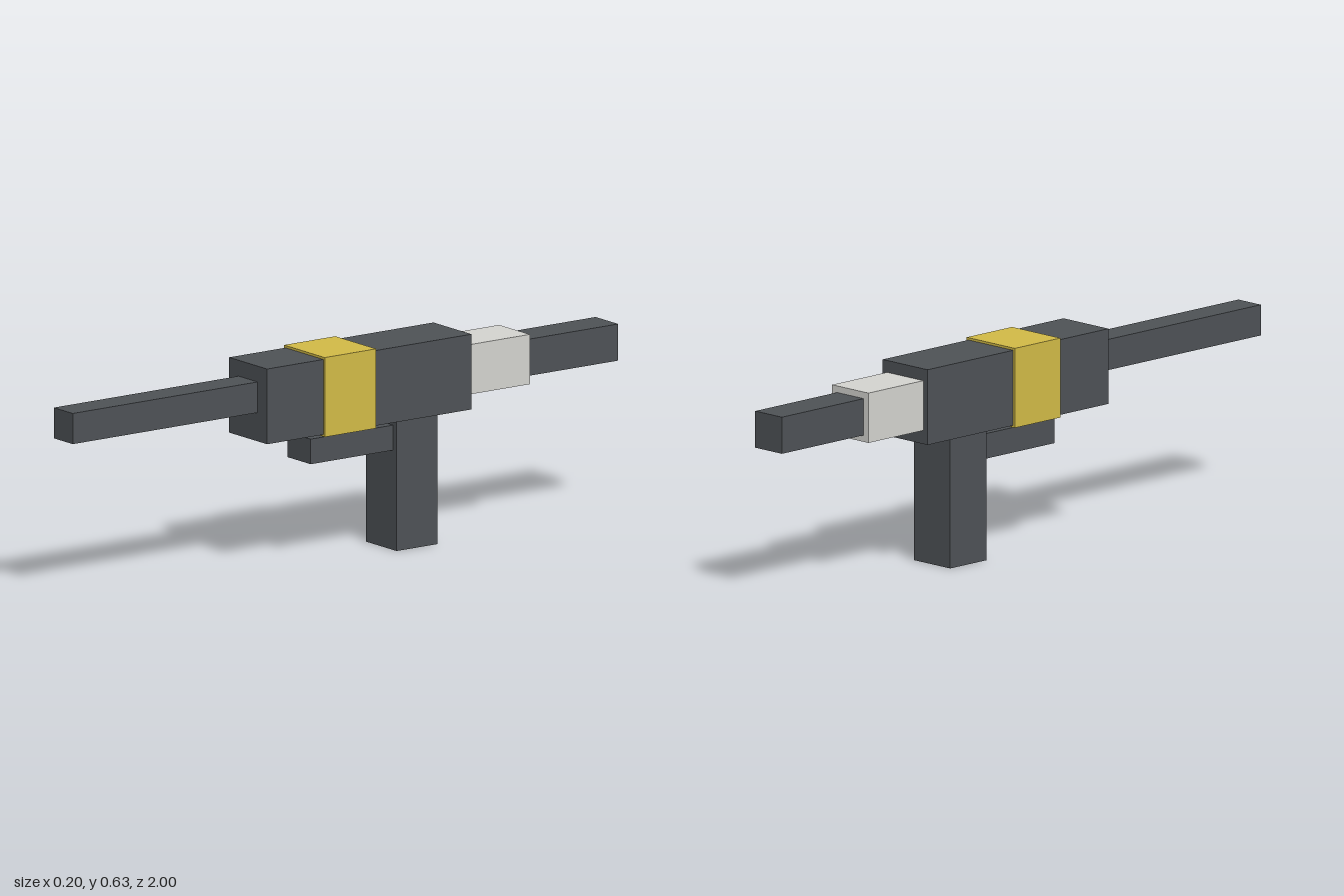
import * as THREE from 'three';

export function createModel() {
  const model = new THREE.Group();
  const flat = (name, color) => {
    const material = new THREE.MeshStandardMaterial({ color });
    material.name = name;
    return material;
  };
  const dark = flat('dark grey', 0x4e5256);
  const pale = flat('pale grey', 0xd4d4d0);
  const yellow = flat('yellow', 0xd2bb47);

  // Box centred on x, given its width and its y and z ranges
  const box = (name, material, width, [y0, y1], [z0, z1]) => {
    const mesh = new THREE.Mesh(new THREE.BoxGeometry(width, y1 - y0, z1 - z0), material);
    mesh.position.set(0, (y0 + y1) / 2, (z0 + z1) / 2);
    mesh.name = name;
    model.add(mesh);
  };

  // Main body with its wrapped band
  box('body', dark, 0.188, [0.396, 0.624], [-0.432, 0.32]);
  box('band', yellow, 0.202, [0.39, 0.631], [-0.076, 0.113]);

  // Front barrel
  box('barrel', dark, 0.094, [0.483, 0.576], [0.32, 1]);

  // Rear collar and stock
  box('collar', pale, 0.152, [0.437, 0.588], [-0.66, -0.432]);
  box('stock', dark, 0.112, [0.457, 0.568], [-1, -0.66]);

  // Grip and the bar in front of it
  box('grip', dark, 0.152, [0, 0.396], [-0.32, -0.17]);
  box('guardBar', dark, 0.114, [0.302, 0.378], [-0.17, 0.132]);

  return model;
}
